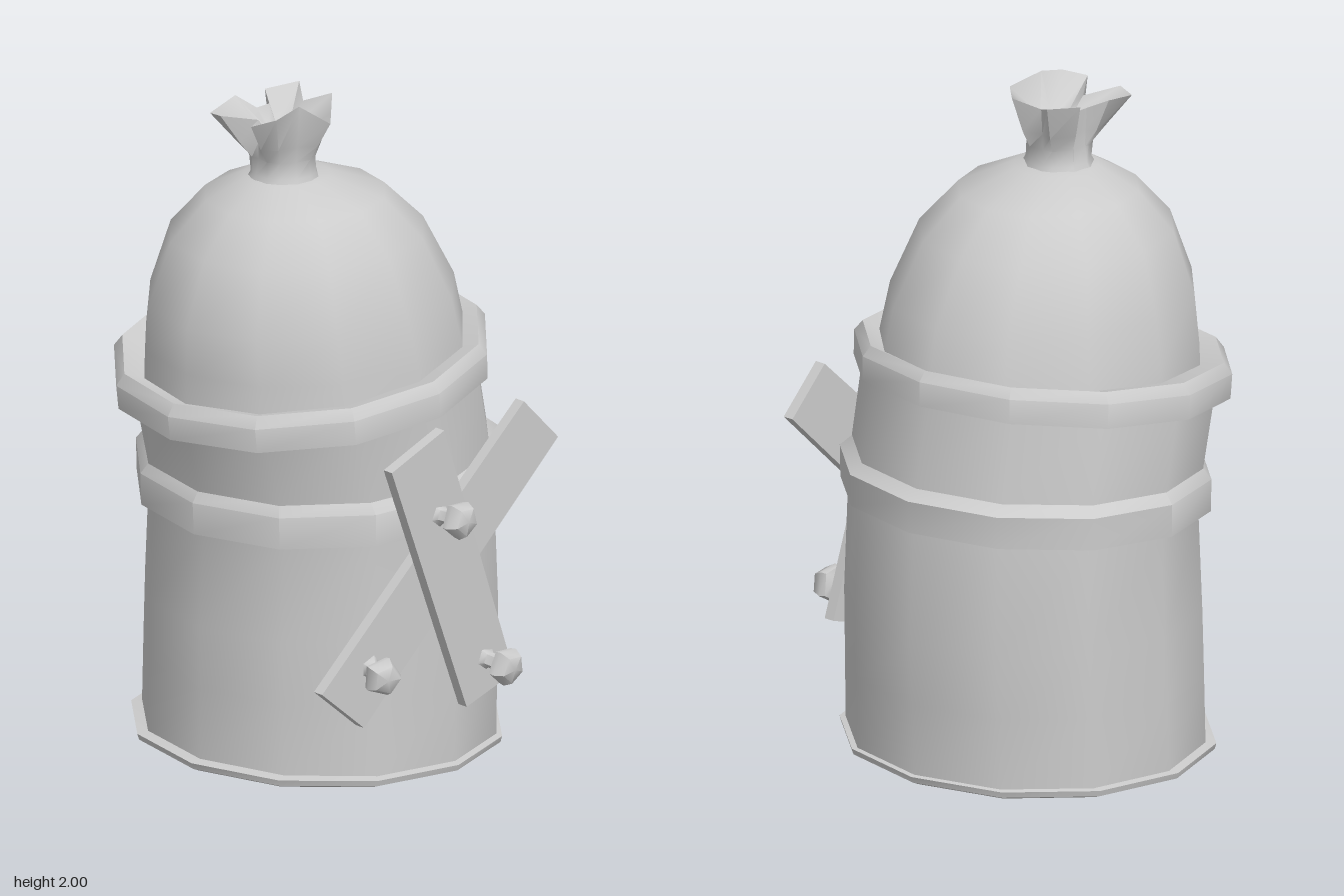
import * as THREE from 'three';
import { toCreasedNormals } from 'three/addons/utils/BufferGeometryUtils.js';

const material = new THREE.MeshStandardMaterial({ color: 0xcccccc, side: THREE.DoubleSide });
const SIDES = 12, PHASE = -0.05;

// Skin a list of closed rings of [x, y, z] points, from bottom to top
function loft(rings, crease = 0.75) {
  const n = rings[0].length, index = [];
  for (let j = 0; j < rings.length - 1; j++) {
    for (let i = 0; i < n; i++) {
      const a = j * n + i, b = j * n + (i + 1) % n;
      index.push(a, a + n, b, b, a + n, b + n);
    }
  }
  const geo = new THREE.BufferGeometry();
  geo.setAttribute('position', new THREE.Float32BufferAttribute(rings.flat(2), 3));
  geo.setIndex(index);
  return toCreasedNormals(geo, crease);
}

// Oval ring; slope raises it towards +x
function ring(y, cx, cz, rx, rz, slope = 0) {
  return Array.from({ length: SIDES }, (_, i) => {
    const t = PHASE + i / SIDES * Math.PI * 2;
    const x = cx + rx * Math.cos(t);
    return [x, y + slope * x, cz + rz * Math.sin(t)];
  });
}
const rings = list => loft(list.map(r => ring(...r)));

function mesh(name, geo) {
  const m = new THREE.Mesh(geo, material);
  m.name = name;
  return m;
}

// Board cut from four front corners, leaning along x
function plank(name, corners, z, lean) {
  const shape = new THREE.Shape(corners.map(c => new THREE.Vector2(...c)));
  const geo = new THREE.ExtrudeGeometry(shape, { depth: 0.035, bevelEnabled: false });
  const p = geo.attributes.position;
  for (let i = 0; i < p.count; i++) p.setZ(i, p.getZ(i) + z + lean * p.getX(i));
  geo.computeVertexNormals();
  return mesh(name, geo);
}

// Five-sided nail with a domed head
function nail(name, base, head) {
  const profile = [[0.042, 0], [0.024, 0.02], [0.024, 0.055], [0.056, 0.066], [0.06, 0.085], [0.044, 0.115], [0, 0.122]];
  const geo = new THREE.LatheGeometry(profile.map(p => new THREE.Vector2(...p)), 5);
  const m = mesh(name, toCreasedNormals(geo, 1.0));
  const from = new THREE.Vector3(...base), dir = new THREE.Vector3(...head).sub(from).normalize();
  m.quaternion.setFromUnitVectors(new THREE.Vector3(0, 1, 0), dir);
  m.position.copy(from);
  return m;
}

// Gathered cloth: a round neck opening into a folded star
function tuft() {
  const lip = [
    [-0.27, 1.95, -0.20], [-0.15, 1.97, -0.22], [-0.12, 1.94, -0.16], [-0.07, 1.94, -0.16], [-0.05, 1.97, -0.20],
    [0.05, 1.98, -0.16], [0.0, 1.95, -0.09], [0.05, 1.98, -0.02], [-0.03, 1.96, 0.06], [-0.08, 1.95, 0.11],
    [-0.14, 2.0, 0.04], [-0.23, 1.98, 0.04], [-0.285, 1.96, -0.01], [-0.19, 1.94, -0.08], [-0.285, 1.96, -0.14],
  ];
  const cx = -0.1, cz = -0.065;
  const neck = (y, r, star) => lip.map(([x, , z]) => {
    const t = Math.atan2(z - cz, x - cx);
    const d = THREE.MathUtils.lerp(r, Math.hypot(x - cx, z - cz), star);
    return [cx + d * Math.cos(t), y, cz + d * Math.sin(t)];
  });
  return loft([
    neck(1.73, 0.12, 0), neck(1.77, 0.098, 0), neck(1.82, 0.09, 0.1), neck(1.87, 0.09, 0.45),
    lip, neck(1.89, 0.045, 0.15), neck(1.86, 0, 0),
  ], 0.9);
}

export function createModel() {
  const group = new THREE.Group();

  // Crooked barrel with a thin foot flange
  group.add(mesh('barrel', rings([
    [0.025, 0.045, -0.07, 0.505, 0.55], [0.25, 0.05, -0.07, 0.51, 0.545],
    [0.44, 0.055, -0.07, 0.515, 0.54], [0.76, 0.055, -0.07, 0.5, 0.53, 0.05],
    [0.9, 0.035, -0.07, 0.505, 0.53, 0.05], [1.14, -0.015, -0.07, 0.505, 0.53, 0.11],
  ])));
  group.add(mesh('footFlange', rings([
    [0, 0.035, -0.07, 0, 0], [0, 0.035, -0.07, 0.5, 0.54], [0.012, 0.035, -0.07, 0.525, 0.57],
    [0.03, 0.035, -0.07, 0.53, 0.575], [0.035, 0.04, -0.07, 0.5, 0.54],
  ])));

  // Raised belt and tilted upper rim
  group.add(mesh('belt', rings([
    [0.762, 0.045, -0.07, 0.49, 0.52, 0.05], [0.762, 0.045, -0.07, 0.53, 0.56, 0.05],
    [0.86, 0.045, -0.07, 0.535, 0.56, 0.05], [0.9, 0.035, -0.07, 0.495, 0.52, 0.05],
  ])));
  group.add(mesh('rim', rings([
    [1.115, -0.02, -0.07, 0.49, 0.52, 0.11], [1.115, -0.02, -0.075, 0.555, 0.56, 0.11],
    [1.19, -0.025, -0.075, 0.56, 0.56, 0.11], [1.222, -0.025, -0.075, 0.535, 0.535, 0.11],
    [1.2, -0.02, -0.07, 0.48, 0.45, 0.11],
  ])));

  // Bulging sack and its tied top
  group.add(mesh('sack', rings([
    [1.15, -0.015, -0.065, 0.5, 0.47, 0.1], [1.24, -0.02, -0.065, 0.495, 0.46],
    [1.38, -0.035, -0.062, 0.478, 0.435], [1.57, -0.05, -0.065, 0.39, 0.37],
    [1.69, -0.06, -0.062, 0.275, 0.265], [1.755, -0.09, -0.065, 0.13, 0.125],
    [1.77, -0.1, -0.065, 0, 0],
  ])));
  group.add(mesh('tiedTop', tuft()));

  // Crossed boards nailed to the front
  group.add(plank('lowerPlank', [[0.31, 1.1], [-0.46, 0.37], [-0.3, 0.23], [0.44, 0.96]], 0.467, 0.055));
  group.add(plank('upperPlank', [[-0.24, 1.02], [0.06, 0.22], [0.25, 0.28], [-0.03, 1.1]], 0.505, 0));
  group.add(nail('topNail', [-0.045, 0.84, 0.53], [-0.035, 0.845, 0.65]));
  group.add(nail('leftPlankNail', [-0.275, 0.41, 0.48], [-0.31, 0.405, 0.61]));
  group.add(nail('bottomNail', [0.14, 0.35, 0.53], [0.152, 0.34, 0.65]));

  return group;
}
